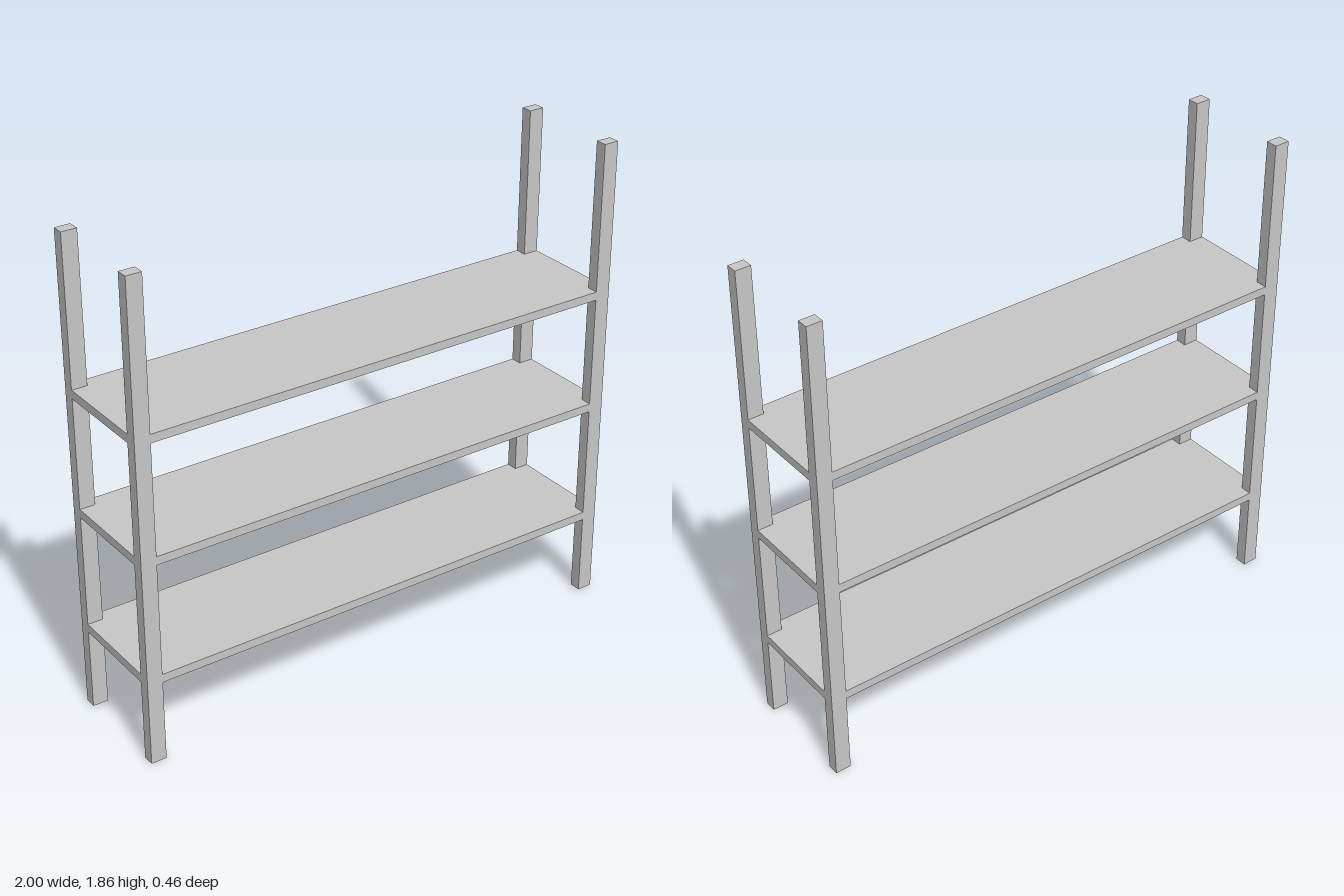
import * as THREE from 'three';

const HALF_X = 1, HALF_Z = 0.23, HEIGHT = 1.86;
const POST_X = 0.06, POST_Z = 0.045, THICK = 0.033;

// Board outline with the four corners notched to fit around the posts
function boardShape() {
  const x = HALF_X, z = HALF_Z, ix = x - POST_X, iz = z - POST_Z;
  const corners = [
    [ix, -z], [ix, -iz], [x, -iz], [x, iz], [ix, iz], [ix, z],
    [-ix, z], [-ix, iz], [-x, iz], [-x, -iz], [-ix, -iz], [-ix, -z],
  ];
  return new THREE.Shape(corners.map(([a, b]) => new THREE.Vector2(a, b)));
}

export function createModel() {
  const model = new THREE.Group();
  model.name = 'shelvingUnit';
  const grey = new THREE.MeshStandardMaterial({ color: 0xc8c8c8 });
  grey.name = 'light grey';

  // Four corner posts
  const postGeometry = new THREE.BoxGeometry(POST_X, HEIGHT, POST_Z);
  for (const [sx, side] of [[1, 'Left'], [-1, 'Right']]) {
    for (const [sz, end] of [[1, 'front'], [-1, 'back']]) {
      const post = new THREE.Mesh(postGeometry, grey);
      post.name = `${end}${side}Post`;
      post.position.set(sx * (HALF_X - POST_X / 2), HEIGHT / 2, sz * (HALF_Z - POST_Z / 2));
      model.add(post);
    }
  }

  // Three boards, flush with the outer faces of the posts
  const boardGeometry = new THREE.ExtrudeGeometry(boardShape(), { depth: THICK, bevelEnabled: false });
  boardGeometry.rotateX(-Math.PI / 2);
  [['lowerShelf', 0.32], ['middleShelf', 0.793], ['upperShelf', 1.255]].forEach(([name, y]) => {
    const board = new THREE.Mesh(boardGeometry, grey);
    board.name = name;
    board.position.y = y;
    model.add(board);
  });

  return model;
}
